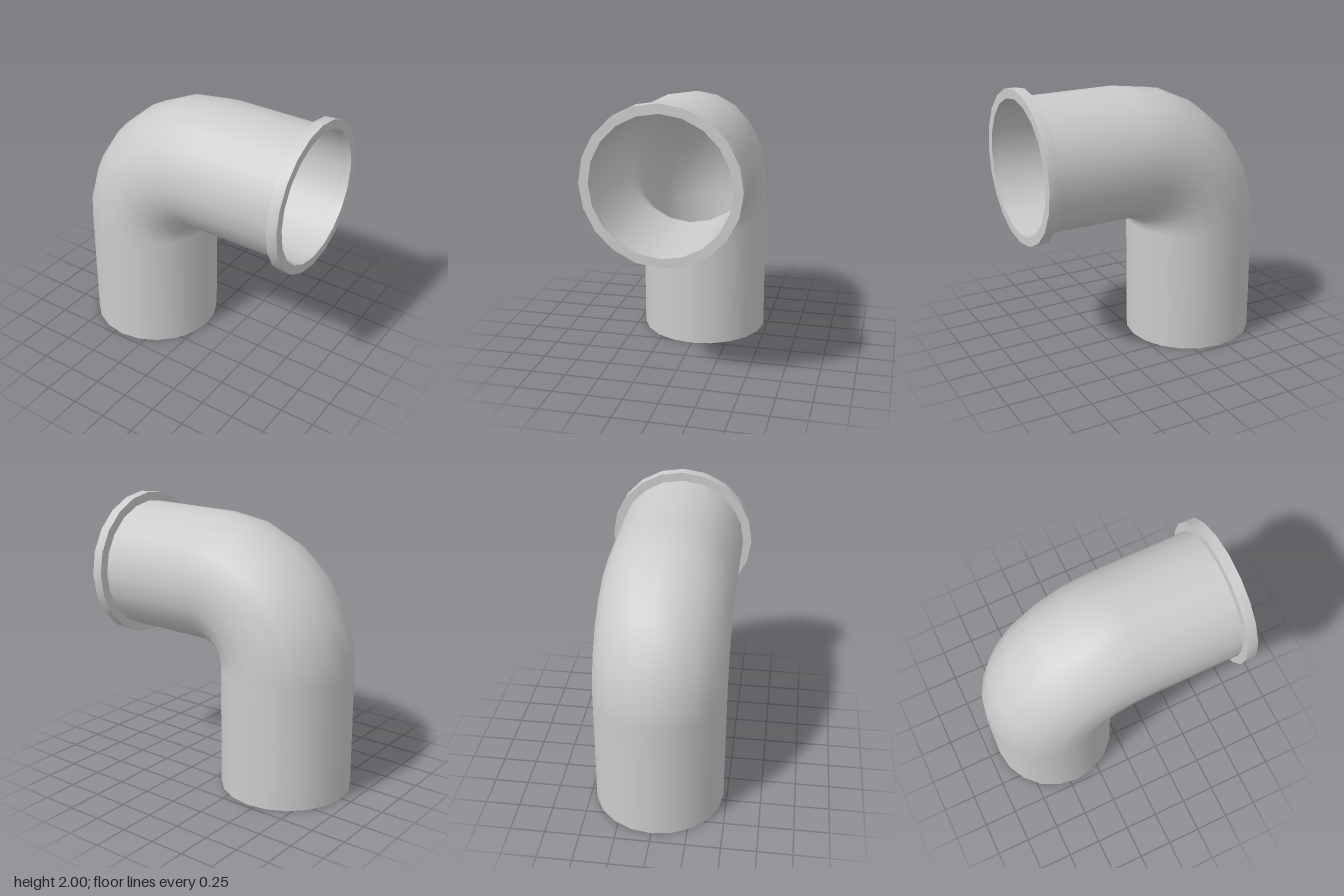
import * as THREE from 'three';
import { toCreasedNormals } from 'three/addons/utils/BufferGeometryUtils.js';

const SIDES = 20;
const R = 0.473;            // pipe radius
const BEND = 0.573;         // radius of the bend's centre line
const BX = 0.128, BY = 0.89; // centre of the bend
const FLANGE_X = 0.835, END_X = 0.912;

// Open pipe skin: rings swept up, round the elbow and out to the flange
function elbowGeometry() {
  const rad = THREE.MathUtils.degToRad;
  const rings = [{ a: 0, x: BX - BEND, y: 0 }];
  for (const deg of [0, 8.2, 24.6, 41, 57.3, 73.6, 90]) {
    const a = rad(deg);
    rings.push({ a, x: BX - BEND * Math.cos(a), y: BY + BEND * Math.sin(a) });
  }
  rings.push({ a: rad(90), x: FLANGE_X, y: BY + BEND });

  const pos = [], nor = [], idx = [];
  rings.forEach(({ a, x, y }, i) => {
    for (let j = 0; j < SIDES; j++) {
      const t = (j / SIDES) * Math.PI * 2;
      const n = [-Math.cos(a) * Math.cos(t), Math.sin(a) * Math.cos(t), Math.sin(t)];
      pos.push(x + R * n[0], y + R * n[1], R * n[2]);
      nor.push(...n);
      if (i === 0) continue;
      const k = (j + 1) % SIDES;
      const p = (i - 1) * SIDES, q = i * SIDES;
      idx.push(p + j, p + k, q + j, p + k, q + k, q + j);
    }
  });
  const g = new THREE.BufferGeometry();
  g.setAttribute('position', new THREE.Float32BufferAttribute(pos, 3));
  g.setAttribute('normal', new THREE.Float32BufferAttribute(nor, 3));
  g.setIndex(idx);
  return g;
}

// Solid ring round the mouth, turned about the x axis
function flangeGeometry() {
  const outer = 0.538, w = END_X - FLANGE_X;
  const profile = [[R, 0], [outer, 0], [outer, w], [R, w], [R, 0]]
    .map(([r, h]) => new THREE.Vector2(r, h));
  const g = new THREE.LatheGeometry(profile, SIDES);
  g.rotateZ(-Math.PI / 2);
  g.translate(FLANGE_X, BY + BEND, 0);
  return toCreasedNormals(g, 0.6);
}

export function createModel() {
  const group = new THREE.Group();
  group.name = 'pipeElbow';
  const material = new THREE.MeshStandardMaterial({ color: 0xcccccc, side: THREE.DoubleSide });
  const add = (name, geometry) => {
    const mesh = new THREE.Mesh(geometry, material);
    mesh.name = name;
    group.add(mesh);
  };
  add('pipe', elbowGeometry());
  add('flange', flangeGeometry());
  return group;
}
